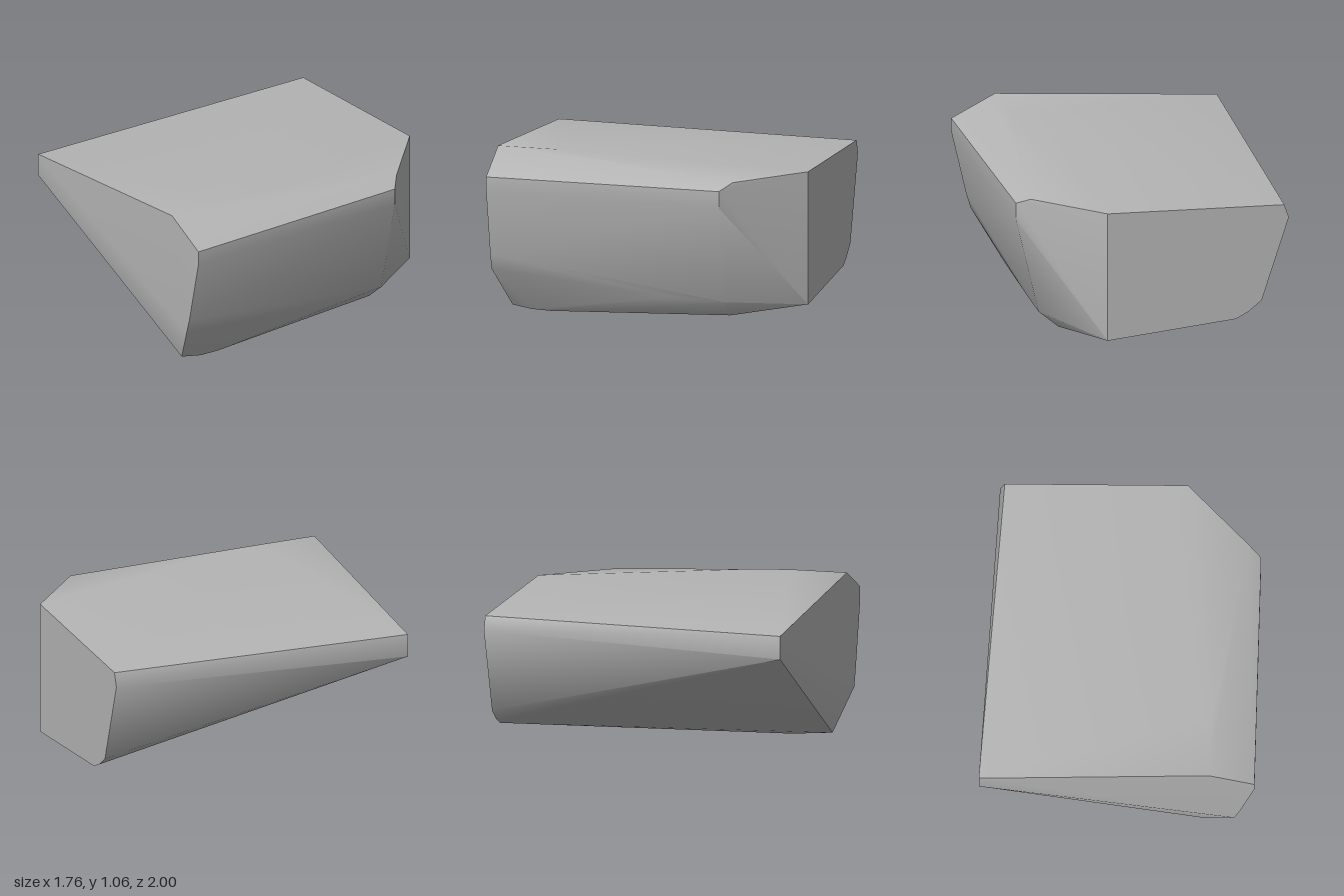
import * as THREE from 'three';
import { ConvexGeometry } from 'three/addons/geometries/ConvexGeometry.js';
import { toCreasedNormals } from 'three/addons/utils/BufferGeometryUtils.js';

export function createModel() {
  const stone = new THREE.MeshStandardMaterial({ color: 0xb4b4b4 });
  stone.name = 'grey stone';

  // Corners grouped by the part of the boulder they belong to
  const frontFace = [
    [-0.88, 0.90, 1], [-0.88, 0.75, 1], [0.59, 1.06, 1], [0.88, 0.92, 1],
    [0.88, 0.83, 1], [0.78, 0.39, 1], [0.75, 0.29, 1],
  ];
  const backFace = [
    [0.40, 0.97, -1], [0.40, 0.10, -1], [-0.45, 0.16, -1], [-0.53, 0.20, -1],
    [-0.62, 0.27, -1], [-0.80, 0.82, -1], [-0.77, 0.91, -1],
  ];
  const cutCorner = [
    [0.88, 0.92, -0.54], [0.88, 0.81, -0.54], [0.80, 0.965, -0.61],
    [0.73, 0.16, -0.54], [0.60, 0.045, -0.54],
  ];
  const topRidge = [[0.59, 1.06, 0.62], [0.60, 1.048, 0.38]];
  const bottomTip = [
    [0.57, 0.02, 0.91], [0.60, 0.005, 0.78], [0.60, 0, 0.65],
    [0.54, 0.005, 0.65], [0.73, 0.17, -0.2],
  ];

  const points = [...frontFace, ...backFace, ...cutCorner, ...topRidge, ...bottomTip]
    .map((p) => new THREE.Vector3(...p));

  // Soft shading over shallow facets, sharp edges elsewhere
  const geometry = toCreasedNormals(new ConvexGeometry(points), 0.7);
  const boulder = new THREE.Mesh(geometry, stone);
  boulder.name = 'boulder';

  const group = new THREE.Group();
  group.name = 'rock';
  group.add(boulder);
  return group;
}
